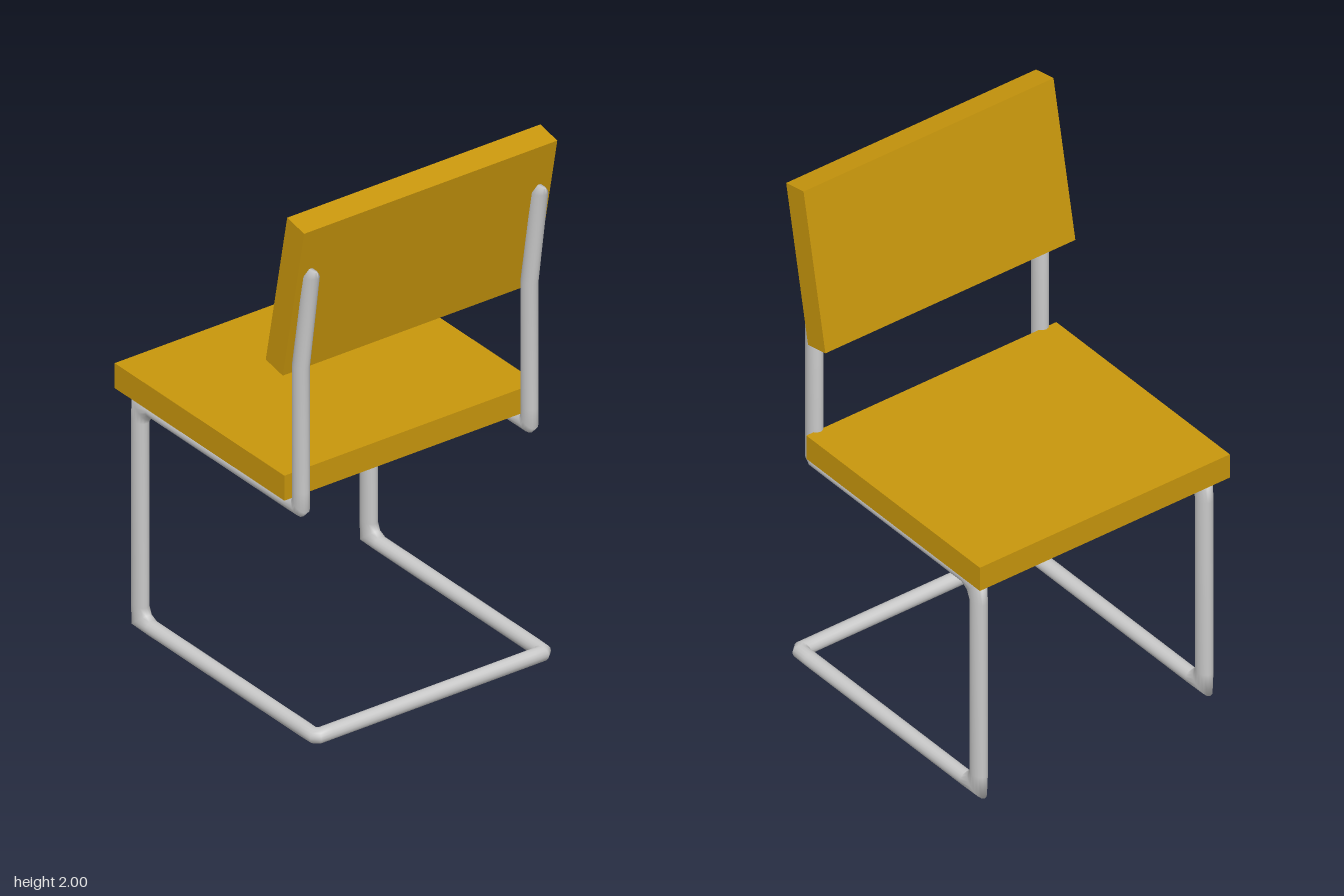
import * as THREE from 'three';

const wood = new THREE.MeshStandardMaterial({ color: 0xc8960c });
wood.name = 'goldenWood';
const steel = new THREE.MeshStandardMaterial({ color: 0xc8c8c8 });
steel.name = 'steel';

const R = 0.0275; // tube half width
const SIDE_Z = 0.4765; // tube centre line on each side

// Skins elliptical rings { c: centre, u, v: half axes } into a closed tube.
function sweep(rings, sides = 16) {
  const pos = [], index = [];
  for (const { c, u, v } of rings) {
    for (let j = 0; j < sides; j++) {
      const a = (j / sides) * Math.PI * 2;
      const p = c.clone().addScaledVector(u, Math.cos(a)).addScaledVector(v, Math.sin(a));
      pos.push(p.x, p.y, p.z);
    }
  }
  const last = (rings.length - 1) * sides;
  for (let i = 0; i < last; i += sides) {
    for (let j = 0; j < sides; j++) {
      const k = (j + 1) % sides;
      index.push(i + j, i + k, i + sides + j, i + k, i + sides + k, i + sides + j);
    }
  }
  // end caps
  for (let j = 1; j < sides - 1; j++) {
    index.push(0, j + 1, j, last, last + j, last + j + 1);
  }
  const g = new THREE.BufferGeometry();
  g.setAttribute('position', new THREE.Float32BufferAttribute(pos, 3));
  g.setIndex(index);
  g.computeVertexNormals();
  return g;
}

function frameGeometry() {
  // Opposite edges of the tube in the side plane: ax, ay, bx, by, half depth
  const profile = [
    [0.521, 1.815, 0.471, 1.815, 0.007], // post tip
    [0.518, 1.79, 0.452, 1.79, R],
    [0.463, 1.42, 0.393, 1.41, R], // post bend
    [0.463, 0.94, 0.393, 0.94, R],
    [0.463, 0.865, 0.395, 0.91, R], // rear seat corner
    [0.44, 0.841, 0.39, 0.898, R],
    [0.36, 0.841, 0.36, 0.895, R], // seat rail
    [-0.405, 0.841, -0.405, 0.893, R],
    [-0.42, 0.82, -0.505, 0.893, R], // front seat corner
    [-0.435, 0.8, -0.508, 0.8, R], // front leg
    [-0.435, 0.09, -0.508, 0.09, R],
    [-0.42, 0.07, -0.505, 0, R], // front floor corner
    [-0.405, 0.055, -0.405, 0, R], // floor rail
    [0.45, 0.055, 0.45, 0, R],
  ];
  const half = profile.map(([ax, ay, bx, by, d]) => ({
    c: new THREE.Vector3((ax + bx) / 2, (ay + by) / 2, SIDE_Z),
    u: new THREE.Vector3((ax - bx) / 2, (ay - by) / 2, 0),
    v: new THREE.Vector3(0, 0, d),
  }));
  // Bevelled rear floor corner, turning into the cross bar: outer x, z, inner x, z
  for (const [ox, oz, ix, iz] of [
    [0.515, 0.502, 0.483, 0.45],
    [0.54, 0.475, 0.485, 0.447],
    [0.54, 0.42, 0.485, 0.42],
  ]) {
    half.push({
      c: new THREE.Vector3((ox + ix) / 2, R, (oz + iz) / 2),
      u: new THREE.Vector3(0, R, 0),
      v: new THREE.Vector3((ox - ix) / 2, 0, (oz - iz) / 2),
    });
  }
  // Mirror across z for the other side
  const flip = new THREE.Vector3(1, 1, -1);
  const mirrored = half.map(({ c, u, v }) => ({
    c: c.clone().multiply(flip),
    u: u.clone().multiply(flip),
    v: v.clone().multiply(flip),
  })).reverse();
  return sweep([...half, ...mirrored]);
}

export function createModel() {
  const chair = new THREE.Group();
  chair.name = 'cantileverChair';

  const add = (name, geometry, material, x = 0, y = 0) => {
    const mesh = new THREE.Mesh(geometry, material);
    mesh.name = name;
    mesh.position.set(x, y, 0);
    chair.add(mesh);
    return mesh;
  };

  add('tubeFrame', frameGeometry(), steel);
  add('seat', new THREE.BoxGeometry(0.95, 0.096, 1.056), wood, -0.07, 0.952);
  const back = add('backrest', new THREE.BoxGeometry(0.097, 0.612, 1.056), wood, 0.408, 1.6905);
  back.rotation.z = -0.197;

  return chair;
}
